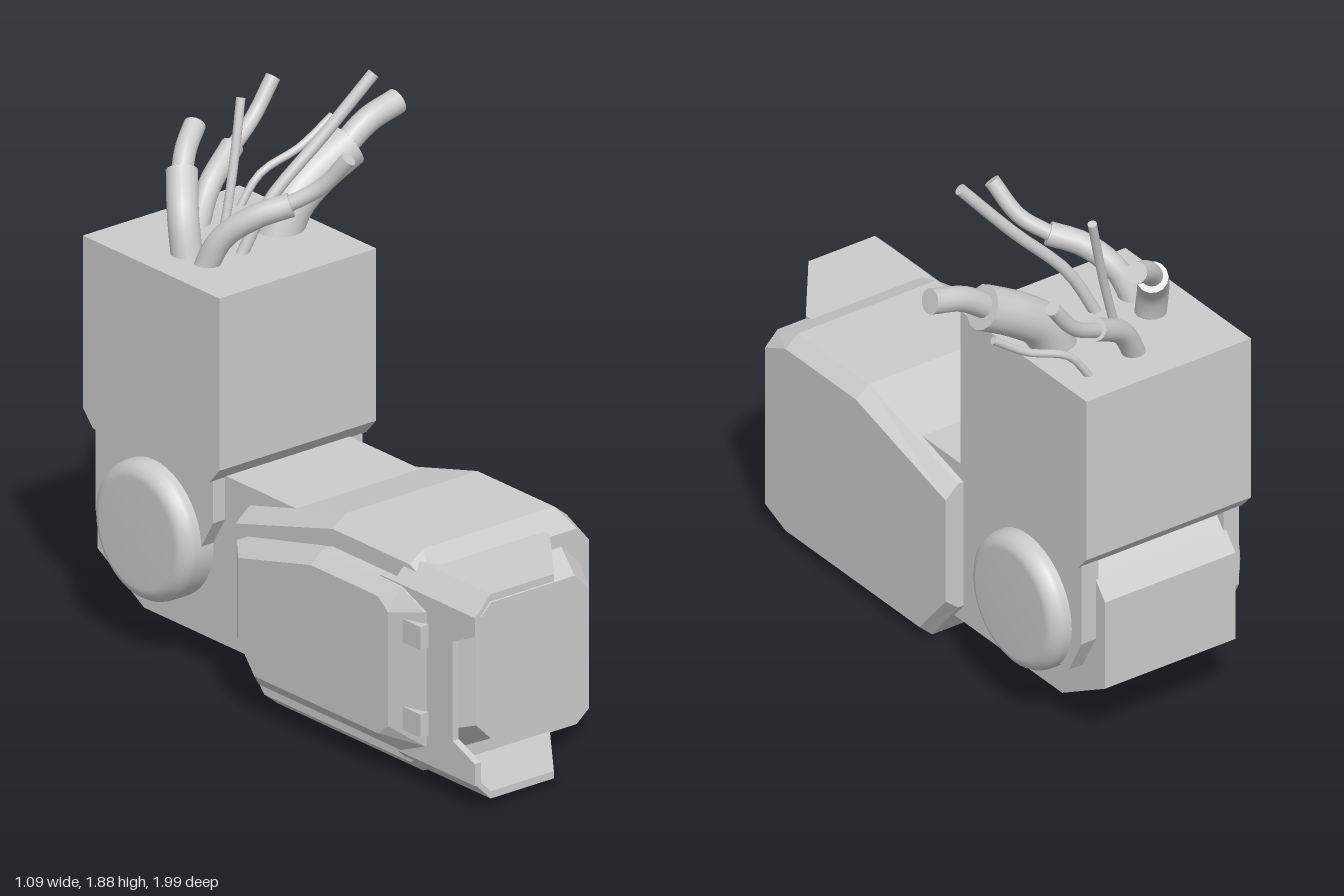
import * as THREE from 'three';

const material = new THREE.MeshStandardMaterial({ color: 0xcccccc, flatShading: true });
const smooth = new THREE.MeshStandardMaterial({ color: 0xcccccc, side: THREE.DoubleSide });

// Where outline coordinates (u, v) and the loft direction w go for each axis
const toWorld = {
  x: (u, v, w) => [w, v, u],
  y: (u, v, w) => [u, w, v],
  z: (u, v, w) => [u, v, w],
};

// Capped solid through matching outlines; sections are [w, outline] with w ascending
function loft(name, axis, sections) {
  const reverse = THREE.ShapeUtils.area(sections[0][1].map(p => new THREE.Vector2(...p))) < 0;
  const rings = sections.map(([w, pts]) => {
    const ordered = reverse ? [...pts].reverse() : pts;
    return ordered.map(([u, v]) => toWorld[axis](u, v, w));
  });
  const flat = (reverse ? [...sections[0][1]].reverse() : sections[0][1]).map(p => new THREE.Vector2(...p));
  const caps = THREE.ShapeUtils.triangulateShape(flat, []);
  const pos = [];
  const tri = (a, b, c) => (axis === 'z' ? pos.push(...a, ...b, ...c) : pos.push(...a, ...c, ...b));
  const n = flat.length;
  for (let s = 0; s < rings.length - 1; s++) {
    const lo = rings[s], hi = rings[s + 1];
    for (let i = 0; i < n; i++) {
      const j = (i + 1) % n;
      tri(lo[i], lo[j], hi[j]);
      tri(lo[i], hi[j], hi[i]);
    }
  }
  const first = rings[0], last = rings[rings.length - 1];
  for (const [a, b, c] of caps) {
    tri(first[a], first[c], first[b]);
    tri(last[a], last[b], last[c]);
  }
  const geometry = new THREE.BufferGeometry();
  geometry.setAttribute('position', new THREE.Float32BufferAttribute(pos, 3));
  geometry.computeVertexNormals();
  const mesh = new THREE.Mesh(geometry, material);
  mesh.name = name;
  return mesh;
}

const prism = (name, axis, w0, w1, outline) => loft(name, axis, [[w0, outline], [w1, outline]]);

// Rectangle with cut corners
const octagon = (x0, x1, y0, y1, c) => [
  [x0 + c, y0], [x1 - c, y0], [x1, y0 + c], [x1, y1 - c],
  [x1 - c, y1], [x0 + c, y1], [x0, y1 - c], [x0, y0 + c],
];

// Flat-ended round cable through a few points
function cable(name, radius, points) {
  const curve = new THREE.CatmullRomCurve3(points.map(p => new THREE.Vector3(...p)));
  const group = new THREE.Group();
  group.name = name;
  group.add(new THREE.Mesh(new THREE.TubeGeometry(curve, 12, radius, 14), smooth));
  for (const t of [0, 1]) {
    const cap = new THREE.Mesh(new THREE.CircleGeometry(radius, 14), smooth);
    const direction = curve.getTangent(t).multiplyScalar(t ? 1 : -1);
    cap.position.copy(curve.getPoint(t));
    cap.quaternion.setFromUnitVectors(new THREE.Vector3(0, 0, 1), direction);
    group.add(cap);
  }
  return group;
}

export function createModel() {
  const model = new THREE.Group();

  // Forearm housing, bevelled along both sides
  const wide = [[0.74, 0.05], [0.63, 0], [-0.09, 0], [-0.23, 0.17], [-0.23, 0.63], [0.25, 0.76], [0.63, 0.76], [0.74, 0.72]];
  const side = [[0.74, 0.09], [0.63, 0.045], [-0.09, 0.045], [-0.23, 0.21], [-0.23, 0.585], [0.25, 0.72], [0.63, 0.72], [0.74, 0.67]];
  model.add(loft('forearmHousing', 'x', [[-0.465, side], [-0.41, wide], [0.13, wide], [0.18, side]]));

  // Tapered front cap
  model.add(loft('frontCap', 'z', [
    [0.73, octagon(-0.435, 0.15, 0.095, 0.68, 0.08)],
    [0.85, octagon(-0.375, 0.09, 0.155, 0.62, 0.06)],
  ]));

  // Raised pad on the outer side
  const padBase = [[0.76, 0.15], [0.64, 0.1], [-0.06, 0.1], [-0.17, 0.23], [-0.17, 0.56], [0.25, 0.66], [0.64, 0.66], [0.76, 0.61]];
  const padTop = [[0.63, 0.19], [0.58, 0.15], [-0.03, 0.15], [-0.11, 0.25], [-0.11, 0.53], [0.25, 0.62], [0.58, 0.62], [0.63, 0.58]];
  model.add(loft('sidePad', 'x', [[-0.555, padTop], [-0.51, padBase], [-0.45, padBase]]));
  for (const y of [0.23, 0.53]) {
    const clip = new THREE.Mesh(new THREE.BoxGeometry(0.035, 0.08, 0.16), material);
    clip.name = 'padClip';
    clip.position.set(-0.52, y, 0.69);
    model.add(clip);
  }

  // Front bracket: side wall with a cut-out, and a bent plate above and below
  model.add(prism('bracketWall', 'x', -0.505, -0.48, [
    [0.53, 0.09], [1, 0.09], [1, 0.165], [0.89, 0.21], [0.89, 0.55], [1, 0.6], [1, 0.665], [0.53, 0.665],
  ]));
  const plate = [[-0.44, 0.6], [0.02, 0.6], [0.02, 0.74], [-0.18, 1], [-0.44, 1]];
  for (const top of [true, false]) {
    const y = v => (top ? v : 0.76 - v);
    const [a, b] = [y(0.705), y(0.73)].sort((p, q) => p - q);
    model.add(prism('bracketPlate', 'y', a, b, plate));
    model.add(prism('bracketBend', 'z', 0.6, 1, [
      [-0.505, y(0.665)], [-0.44, y(0.73)], [-0.44, y(0.705)], [-0.48, y(0.665)],
    ]));
  }

  // Link that runs back into the elbow
  model.add(prism('elbowLink', 'x', -0.4, 0.11, [
    [0, 0.69], [-0.88, 0.69], [-0.94, 0.62], [-0.99, 0.56], [-0.99, 0.24], [-0.76, 0.11], [0, 0.11],
  ]));

  // Upper arm block with a tapered underside and yoke plates
  model.add(prism('upperArm', 'x', -0.465, 0.18, [
    [-0.31, 1.33], [-0.985, 1.33], [-0.985, 0.74], [-0.935, 0.685], [-0.36, 0.685], [-0.31, 0.74],
  ]));
  const yoke = [[-0.36, 0.7], [-0.36, 0.54], [-0.46, 0.37], [-0.6, 0.27], [-0.87, 0.27], [-0.94, 0.4], [-0.94, 0.7]];
  model.add(prism('yokePlate', 'x', 0.1, 0.165, yoke));
  model.add(prism('yokePlate', 'x', -0.45, -0.39, yoke));

  // Rounded pivot discs
  const discProfile = [[0.235, 0], [0.235, 0.075], [0.232, 0.09], [0.222, 0.108], [0.205, 0.121], [0.185, 0.127], [0, 0.127]]
    .map(p => new THREE.Vector2(...p));
  for (const s of [1, -1]) {
    const disc = new THREE.Mesh(new THREE.LatheGeometry(discProfile, 48), smooth);
    disc.name = 'pivotDisc';
    disc.rotation.z = -s * Math.PI / 2;
    disc.position.set(s > 0 ? 0.108 : -0.395, 0.43, -0.652);
    model.add(disc);
  }

  // Torn cables: sleeves with thinner cores
  const cables = [
    ['thickSleeve', 0.075, [[0.03, 1.27, -0.63], [0.09, 1.4, -0.63], [0.19, 1.48, -0.63], [0.32, 1.55, -0.62]]],
    ['thickCore', 0.042, [[0.28, 1.53, -0.62], [0.4, 1.61, -0.62], [0.525, 1.645, -0.62]]],
    ['frontSleeve', 0.04, [[-0.32, 1.29, -0.57], [-0.28, 1.42, -0.52], [-0.21, 1.5, -0.44], [-0.12, 1.54, -0.37]]],
    ['frontCore', 0.026, [[-0.14, 1.53, -0.39], [-0.05, 1.6, -0.31], [0, 1.71, -0.23]]],
    ['outerSleeve', 0.052, [[-0.31, 1.28, -0.65], [-0.29, 1.44, -0.7], [-0.22, 1.55, -0.79]]],
    ['outerCore', 0.036, [[-0.24, 1.53, -0.77], [-0.18, 1.6, -0.82], [-0.1, 1.65, -0.87]]],
    ['backSleeve', 0.038, [[-0.14, 1.29, -0.82], [-0.06, 1.43, -0.85], [0.08, 1.52, -0.9]]],
    ['backCore', 0.025, [[0.05, 1.5, -0.89], [0.19, 1.58, -0.93], [0.28, 1.69, -0.94]]],
    ['longWire', 0.02, [[-0.18, 1.3, -0.56], [-0.08, 1.49, -0.53], [0.1, 1.68, -0.48], [0.265, 1.87, -0.425]]],
    ['shortWire', 0.015, [[-0.18, 1.3, -0.65], [-0.12, 1.5, -0.67], [-0.08, 1.64, -0.69], [-0.04, 1.775, -0.715]]],
    ['thinWire', 0.013, [[0.06, 1.3, -0.86], [0.15, 1.42, -0.85], [0.3, 1.48, -0.83], [0.42, 1.56, -0.815]]],
  ];
  for (const c of cables) model.add(cable(...c));

  return model;
}
